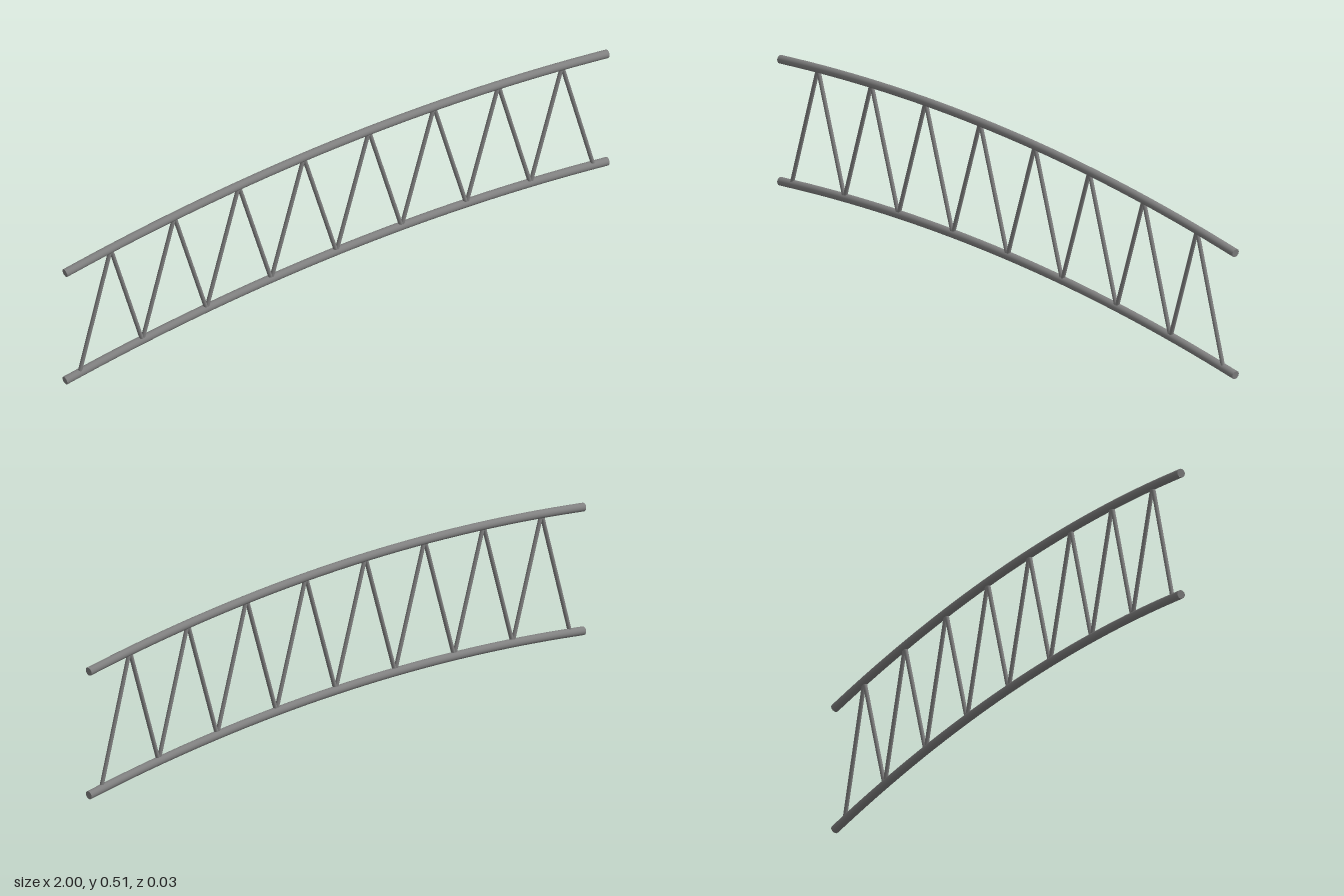
import * as THREE from 'three';

const CHORD_R = 0.0135, WEB_R = 0.0066, RISE = 0.0755, END_X = 0.998;
const LOW = 0.09, HIGH = 0.498;

// Height of an arched chord at x, given its crown height
const archY = (x, crown) => crown - RISE * x * x;

export function createModel() {
  const steel = new THREE.MeshStandardMaterial({ color: 0x808080 });
  steel.name = 'grey steel';
  const group = new THREE.Group();
  group.name = 'archedTruss';

  const add = (geometry, name, parent = group) => {
    const mesh = new THREE.Mesh(geometry, steel);
    mesh.name = name;
    parent.add(mesh);
    return mesh;
  };

  // Curved round chord with flat end caps
  function addChord(crown, name) {
    const chord = new THREE.Group();
    chord.name = name;
    group.add(chord);
    const points = [];
    for (let i = 0; i <= 16; i++) {
      const x = -END_X + (2 * END_X * i) / 16;
      points.push(new THREE.Vector3(x, archY(x, crown), 0));
    }
    const curve = new THREE.CatmullRomCurve3(points);
    add(new THREE.TubeGeometry(curve, 32, CHORD_R, 20), name + 'Tube', chord);
    for (const t of [0, 1]) {
      const cap = add(new THREE.CircleGeometry(CHORD_R, 20), name + 'EndCap', chord);
      const out = curve.getTangent(t).multiplyScalar(t ? 1 : -1);
      cap.position.copy(curve.getPoint(t));
      cap.quaternion.setFromUnitVectors(new THREE.Vector3(0, 0, 1), out);
    }
  }
  addChord(LOW, 'lowerChord');
  addChord(HIGH, 'upperChord');

  // Zigzag web: nodes alternate between lower and upper chord
  const nodes = [];
  for (let i = -8; i <= 8; i++) {
    const x = i * 0.12 * (1 - 0.00022 * i * i);
    nodes.push(new THREE.Vector3(x, archY(x, i % 2 === 0 ? LOW : HIGH), 0.002));
  }
  for (let i = 0; i < nodes.length - 1; i++) {
    const a = nodes[i], b = nodes[i + 1];
    const dir = b.clone().sub(a);
    const rod = add(new THREE.CylinderGeometry(WEB_R, WEB_R, dir.length(), 12), 'webRod');
    rod.position.copy(a).add(b).multiplyScalar(0.5);
    rod.quaternion.setFromUnitVectors(new THREE.Vector3(0, 1, 0), dir.normalize());
  }
  return group;
}
